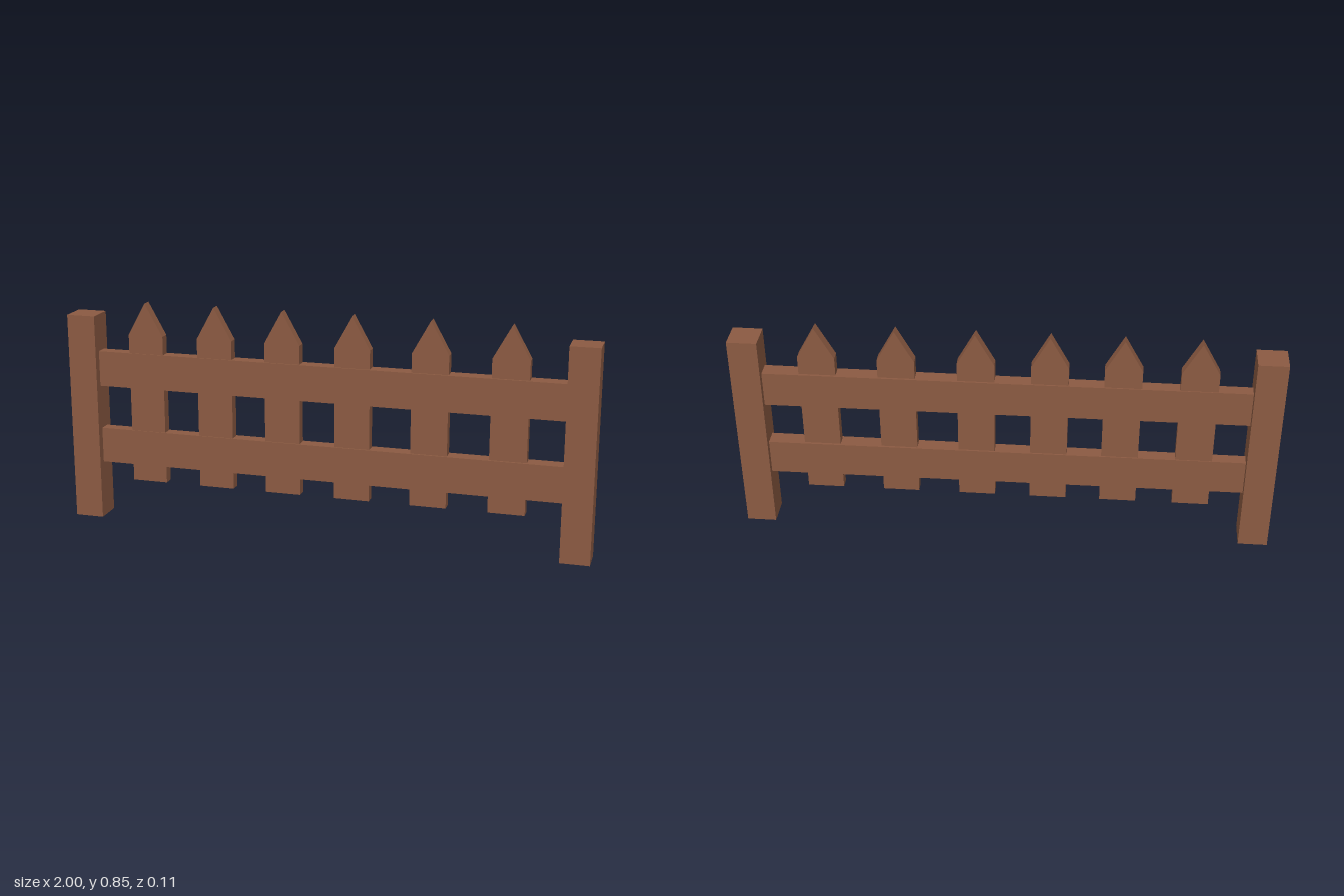
import * as THREE from 'three';

const wood = new THREE.MeshStandardMaterial({ color: 0x8b5a42, side: THREE.DoubleSide });
wood.name = 'brown wood';

// Square post with an open underside
function makePost(name, x) {
  const geo = new THREE.BoxGeometry(0.11, 0.8, 0.107);
  const index = Array.from(geo.index.array);
  index.splice(18, 6); // drop the bottom face
  geo.setIndex(index);
  geo.clearGroups();
  const post = new THREE.Mesh(geo, wood);
  post.name = name;
  post.position.set(x, 0.4, 0);
  return post;
}

// Horizontal rail, slightly thicker toward +x
function makeRail(name, y) {
  const geo = new THREE.BoxGeometry(1.78, 0.136, 1);
  const p = geo.attributes.position;
  for (let i = 0; i < p.count; i++) {
    p.setZ(i, Math.sign(p.getZ(i)) * (p.getX(i) > 0 ? 0.03 : 0.023));
  }
  geo.computeVertexNormals();
  const rail = new THREE.Mesh(geo, wood);
  rail.name = name;
  rail.position.y = y;
  return rail;
}

// Pointed board outline, extruded through its thickness
function makePicketGeometry() {
  const w = 0.068, depth = 0.04;
  const shape = new THREE.Shape();
  shape.moveTo(-w, 0.155);
  shape.lineTo(w, 0.155);
  shape.lineTo(w, 0.73);
  shape.lineTo(0, 0.853);
  shape.lineTo(-w, 0.73);
  shape.closePath();
  const geo = new THREE.ExtrudeGeometry(shape, { depth, bevelEnabled: false });
  geo.translate(0, 0, -depth / 2);
  return geo;
}

export function createModel() {
  const fence = new THREE.Group();
  fence.name = 'picketFence';

  fence.add(makePost('leftPost', 0.945), makePost('rightPost', -0.945));
  fence.add(makeRail('upperRail', 0.591), makeRail('lowerRail', 0.287));

  // Unevenly spaced pickets
  const picketGeo = makePicketGeometry();
  [-0.698, -0.425, -0.161, 0.107, 0.397, 0.687].forEach((x, i) => {
    const picket = new THREE.Mesh(picketGeo, wood);
    picket.name = `picket${i + 1}`;
    picket.position.x = x;
    fence.add(picket);
  });

  return fence;
}
